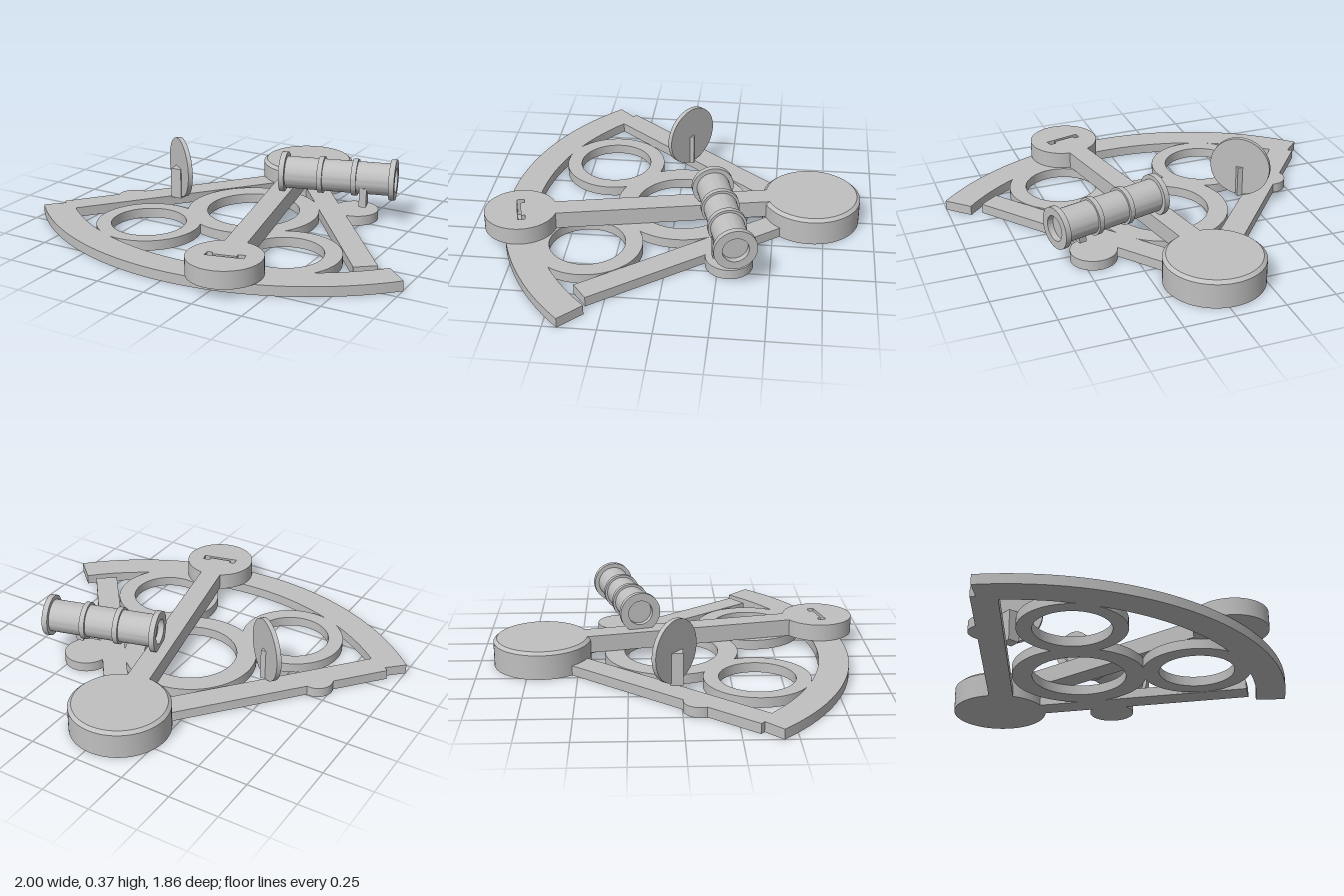
import * as THREE from 'three';
import { toCreasedNormals } from 'three/addons/utils/BufferGeometryUtils.js';

const metal = new THREE.MeshStandardMaterial({ color: 0xc0c0c0 });
metal.name = 'grey metal';

const FRAME = 0.05; // frame thickness
const TOP = 0.14; // top of the index arm and pivot

export function createModel() {
  const model = new THREE.Group();

  const add = (name, geometry, x = 0, y = 0, z = 0, turn = 0) => {
    const mesh = new THREE.Mesh(toCreasedNormals(geometry, 0.5), metal);
    mesh.name = name;
    mesh.position.set(x, y, z);
    mesh.rotation.y = turn;
    model.add(mesh);
    return mesh;
  };

  // Flat plate from an outline in (x, z), between two heights
  const plate = (name, shape, y0, y1, x = 0, z = 0) => {
    const g = new THREE.ExtrudeGeometry(shape, { depth: y1 - y0, bevelEnabled: false, curveSegments: 40 });
    g.rotateX(Math.PI / 2);
    return add(name, g, x, y1, z);
  };
  const polygon = (pts) => new THREE.Shape(pts.map(([x, z]) => new THREE.Vector2(x, z)));
  const disc = (r, hole = 0) => {
    const s = new THREE.Shape().absarc(0, 0, r, 0, Math.PI * 2, false);
    if (hole) s.holes.push(new THREE.Path().absarc(0, 0, hole, 0, Math.PI * 2, true));
    return s;
  };
  const lathe = (pts) => new THREE.LatheGeometry(pts.map(([r, y]) => new THREE.Vector2(r, y)), 64);

  // Graduated arc at the front of the frame
  const a0 = 0.762, a1 = Math.PI - a0;
  const limb = new THREE.Shape();
  limb.absarc(0, -0.525, 1.385, a0, a1, false);
  limb.absarc(0, -0.525, 1.235, a1, a0, true);
  plate('arc', limb, 0, FRAME);

  // Two straight frame arms
  plate('leftArm', polygon([[0.0, -0.6], [0.166, -0.535], [0.835, 0.33], [0.743, 0.4], [0.07, -0.465]]), 0, FRAME);
  plate('rightArm', polygon([[-0.06, -0.6], [-0.21, -0.535], [-0.94, 0.335], [-0.846, 0.415], [-0.118, -0.45]]), 0, FRAME);

  // Bracing rings: x, z, outer and inner radius
  [
    [-0.015, -0.033, 0.337, 0.236],
    [-0.39, 0.37, 0.261, 0.187],
    [0.39, 0.395, 0.272, 0.187],
  ].forEach(([x, z, r, h], i) => plate('frameRing' + (i + 1), disc(r, h), 0, FRAME, x, z));

  // Round pads under the sight and the mirror
  plate('telescopePad', disc(0.115), 0, FRAME, 0.438, -0.302);
  plate('mirrorPad', disc(0.08), 0, FRAME, -0.677, 0.082);

  // Chamfered pivot drum
  add('pivotDrum', lathe([[0, 0], [0.245, 0], [0.245, 0.125], [0.228, TOP], [0, TOP]]), -0.028, 0, -0.685);

  // Index arm with its slotted end disc
  plate('indexArm', polygon([[-0.055, -0.5], [0.062, -0.5], [0.298, 0.62], [0.187, 0.62]]), FRAME + 0.003, TOP);
  const end = disc(0.18);
  end.holes.push(new THREE.Path([
    [-0.09, 0], [-0.064, -0.006], [-0.058, 0.012], [0.056, -0.014],
    [0.05, -0.034], [0.086, -0.042], [0.096, -0.006], [-0.084, 0.037],
  ].map(([x, z]) => new THREE.Vector2(x, z))));
  plate('indexDisc', end, FRAME + 0.003, TOP, 0.27, 0.748);

  // Telescope with end flanges, two bands and recessed ends
  const R = 0.082, L = 0.295;
  const half = [[0, L - 0.03], [0.063, L - 0.03], [0.063, L], [0.104, L], [0.104, L - 0.028], [R, L - 0.028]];
  const band = (c) => [[R, c - 0.013], [0.094, c - 0.013], [0.094, c + 0.013], [R, c + 0.013]];
  const scope = lathe([
    ...half.map(([r, y]) => [r, -y]),
    ...band(-0.086), ...band(0.088),
    ...half.slice().reverse(),
  ]);
  scope.rotateZ(-Math.PI / 2);
  add('telescope', scope, 0.353, 0.225, -0.265, 0.267);
  add('telescopePost', new THREE.BoxGeometry(0.037, 0.1, 0.073), 0.497, 0.143, -0.26, 0.267);

  // Round mirror on its post
  const mirror = new THREE.CylinderGeometry(0.157, 0.157, 0.024, 64);
  mirror.rotateX(Math.PI / 2);
  add('mirror', mirror, -0.45, 0.211, -0.03, -0.69);
  add('mirrorPost', new THREE.BoxGeometry(0.06, 0.16, 0.06), -0.458, 0.13, -0.02);

  return model;
}
